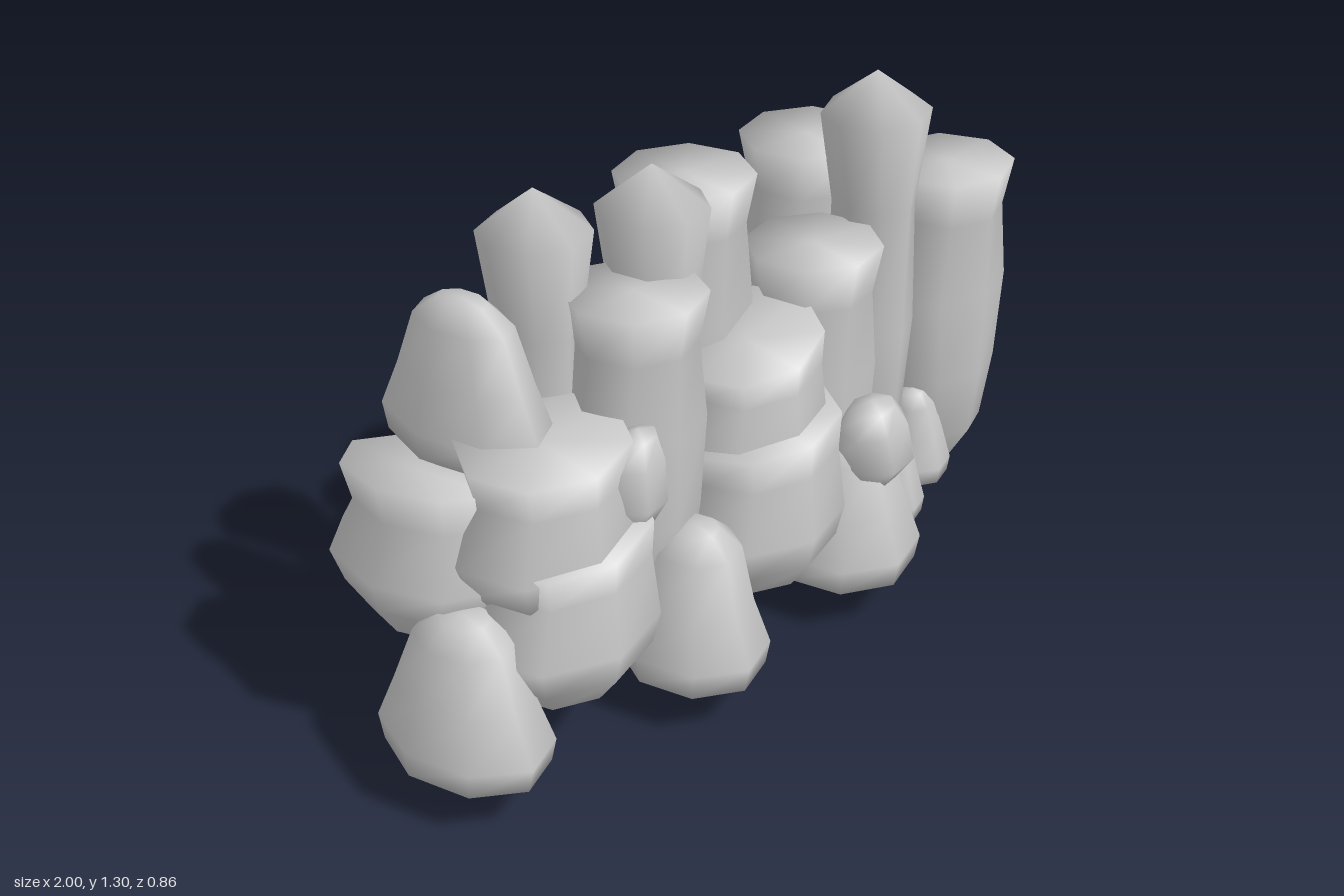
import * as THREE from 'three';
import { mergeVertices } from 'three/addons/utils/BufferGeometryUtils.js';

const stone = new THREE.MeshStandardMaterial({ color: 0xc8c8c8 });
stone.name = 'grey stone';

// Skin a stack of rings [y, radiusX, radiusZ, shiftX, shiftZ]; a zero radius closes an end.
// slant tips the upper rim along x and z.
function rock(name, cx, cz, rings, { sides = 8, phase = 0.2, slant = [0, 0] } = {}) {
  const pos = [], index = [];
  const y0 = rings[0][0], y1 = rings[rings.length - 1][0];
  rings.forEach(([y, rx, rz = rx, sx = 0, sz = 0], i) => {
    const k = ((y - y0) / (y1 - y0)) ** 3;
    for (let j = 0; j < sides; j++) {
      const a = phase + (j / sides) * Math.PI * 2;
      const x = Math.cos(a) * rx + sx, z = Math.sin(a) * rz + sz;
      pos.push(cx + x, y + k * (slant[0] * x + slant[1] * z), cz + z);
      if (i === 0) continue;
      const p = (i - 1) * sides + j, q = (i - 1) * sides + ((j + 1) % sides);
      if (rings[i - 1][1] > 0) index.push(q, p, p + sides);
      if (rx > 0) index.push(q, p + sides, q + sides);
    }
  });
  let geo = new THREE.BufferGeometry();
  geo.setAttribute('position', new THREE.Float32BufferAttribute(pos, 3));
  geo.setIndex(index);
  geo = mergeVertices(geo, 1e-5);
  geo.computeVertexNormals();
  const mesh = new THREE.Mesh(geo, stone);
  mesh.name = name;
  return mesh;
}

// Flat-topped column: flared rim, waist, wide belly across x, and a pointed root
function column(name, x, z, top, tip, phase) {
  const h = top - tip, y = (f) => tip + f * h;
  return rock(name, x, z, [
    [tip, 0], [y(0.21), 0.125, 0.115], [y(0.4), 0.158, 0.138], [y(0.65), 0.184, 0.147],
    [y(0.87), 0.14, 0.145], [top, 0.165, 0.168], [top, 0],
  ], { phase, slant: [-0.04, 0.05] });
}

// Slim column with a pointed head
function spire(name, x, z, top, tip, phase) {
  return rock(name, x, z, [
    [tip, 0], [0.36, 0.085, 0.09], [0.63, 0.108, 0.108], [0.96, 0.083, 0.11],
    [1.2, 0.13, 0.134], [top, 0],
  ], { phase, slant: [0, 0.08] });
}

// Broad boulder: rounded base, bulging middle, pinched neck and flared slanted top
function boulder(name, x, z, bottom, top, rx, rz, slant, phase = 0.2) {
  const y = (f) => bottom + f * (top - bottom);
  return rock(name, x, z, [
    [bottom, 0], [y(0.18), rx * 0.62, rz * 0.6], [y(0.35), rx * 0.9, rz * 0.88],
    [y(0.53), rx, rz, -0.01], [y(0.8), rx * 0.87, rz * 0.8, 0.025],
    [top, rx * 0.9, rz * 0.88, 0.01], [top, 0],
  ], { slant, phase });
}

// Pear-shaped stump with a flat foot and a blunt shoulder
function stump(name, x, z, bottom, top, rx, rz, lean = 0) {
  const y = (f) => bottom + f * (top - bottom);
  return rock(name, x, z, [
    [bottom, 0], [bottom, rx * 0.97, rz * 0.93], [y(0.18), rx, rz], [y(0.5), rx * 0.8, rz * 0.78],
    [y(0.87), rx * 0.64, rz * 0.56, lean], [top, rx * 0.32, rz * 0.28, lean], [top + 0.005, 0, 0, lean],
  ]);
}

// Small rounded stone
function pebble(name, x, z, bottom, top, r, lean) {
  const y = (f) => bottom + f * (top - bottom);
  return rock(name, x, z, [
    [bottom, 0], [y(0.05), r * 0.6], [y(0.3), r], [y(0.7), r, r * 0.8, lean / 2],
    [y(0.93), r * 0.65, r * 0.5, lean], [top, 0, 0, lean],
  ], { sides: 7 });
}

export function createModel() {
  const g = new THREE.Group();
  g.name = 'rock formation';

  // Flat-topped columns
  [
    [0.815, 0.155, 0.975, 0.04, 0.1], [0.33, 0.1, 0.94, 0.0, 0.3], [0.06, -0.075, 1.18, 0.22, 0.2],
    [0.58, -0.1, 1.065, 0.14, 0.25], [-0.28, 0.05, 1.07, 0.12, 0.15],
  ].forEach((c, i) => g.add(column('column' + (i + 1), ...c)));

  // Pointed spires
  [[0.555, 0.115, 1.305, 0.14, 0.1], [-0.14, -0.01, 1.305, 0.13, 0.3], [-0.385, -0.145, 1.305, 0.2, 0.2]]
    .forEach((s, i) => g.add(spire('spire' + (i + 1), ...s)));

  // Boulders in pairs on the front, one at the back
  g.add(boulder('frontLeftBoulder', -0.59, 0.08, 0.14, 0.625, 0.245, 0.22, [0.08, 0]));
  g.add(boulder('upperLeftBoulder', -0.59, 0.03, 0.34, 0.825, 0.23, 0.22, [0.03, 0]));
  g.add(boulder('frontMiddleBoulder', 0.02, 0.17, 0.14, 0.62, 0.225, 0.21, [0.06, 0.13]));
  g.add(boulder('upperMiddleBoulder', 0.05, 0.11, 0.36, 0.81, 0.2, 0.2, [0.22, 0]));
  g.add(boulder('backBoulder', -0.74, -0.19, 0.28, 0.745, 0.165, 0.24, [-0.15, 0.06], 0));

  // Stumps along the foot, and a tall one resting on the back boulder
  [
    [-0.845, 0.01, 0.13, 0.49, 0.158, 0.225, 0.01], [-0.27, 0.2, 0.13, 0.49, 0.16, 0.195, 0.015],
    [0.285, 0.235, 0.13, 0.5, 0.18, 0.2, 0], [0.49, 0.23, 0.15, 0.39, 0.085, 0.1, 0],
    [0.68, 0.18, 0.15, 0.39, 0.092, 0.1, -0.01], [-0.585, -0.18, 0.74, 1.105, 0.125, 0.235, 0],
  ].forEach((s, i) => g.add(stump('stump' + (i + 1), ...s)));

  // Loose stones resting against the boulders
  g.add(pebble('rightPebble', 0.3, 0.31, 0.375, 0.6, 0.1, -0.01));
  g.add(pebble('leftPebble', -0.445, 0.17, 0.59, 0.83, 0.08, 0.02));
  return g;
}
